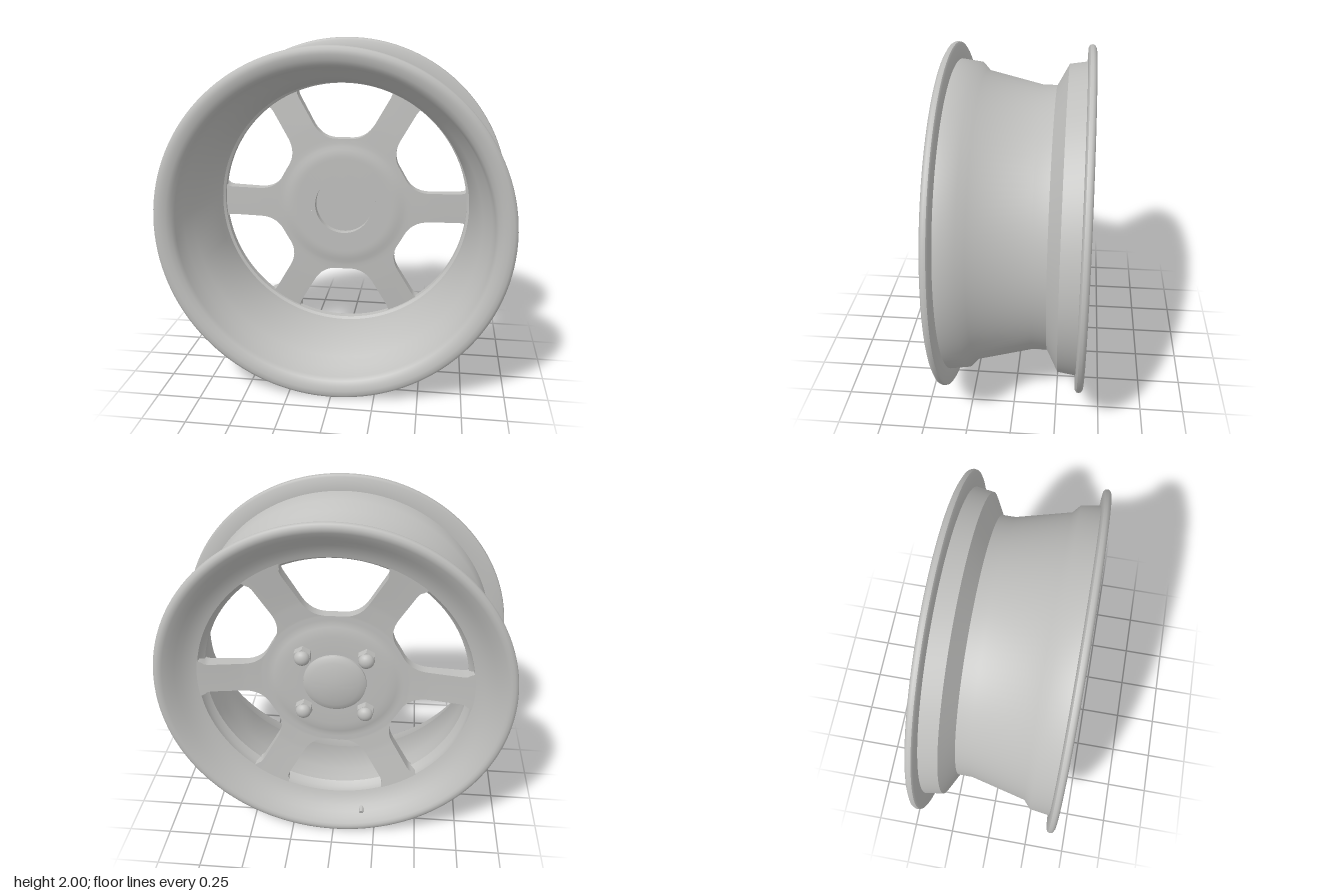
import * as THREE from 'three';
import { mergeGeometries, toCreasedNormals } from 'three/addons/utils/BufferGeometryUtils.js';

const alloy = new THREE.MeshStandardMaterial({ color: 0xbfbfbd });
alloy.name = 'alloy grey';

// Revolves [radius, z] points around the wheel axis (z).
function revolve(points, segments = 96, crease = 0.75) {
  const g = new THREE.LatheGeometry(points.map(([r, z]) => new THREE.Vector2(r, z)), segments);
  g.rotateX(Math.PI / 2);
  return toCreasedNormals(g, crease);
}

function part(name, geometry) {
  const m = new THREE.Mesh(geometry, alloy);
  m.name = name;
  return m;
}

// Interpolates z through [radius, z] points.
function along(table, r) {
  if (r <= table[0][0]) return table[0][1];
  for (let i = 1; i < table.length; i++) {
    const [r0, z0] = table[i - 1], [r1, z1] = table[i];
    if (r <= r1) return THREE.MathUtils.lerp(z0, z1, (r - r0) / (r1 - r0));
  }
  return table[table.length - 1][1];
}
const outerFace = [[0.29, -0.25], [0.33, -0.246], [0.37, -0.237], [0.42, -0.237], [0.53, -0.246], [0.785, -0.286]];
const innerFace = [[0.31, -0.165], [0.34, -0.168], [0.38, -0.177], [0.53, -0.185], [0.785, -0.205]];

// Six spokes widening into a common hub, built from arc-shaped sections.
function spokes() {
  const sections = [0.2, 0.29, 0.31, 0.33, 0.35, 0.37, 0.39, 0.415].map(r => [r, Math.PI / 6]);
  const fillet = new THREE.QuadraticBezierCurve(
    new THREE.Vector2(0.384, 0.164), new THREE.Vector2(0.43, 0.09), new THREE.Vector2(0.53, 0.09));
  const edge = fillet.getPoints(10).map(p => [p.x, p.y]);
  edge.push([0.62, 0.09], [0.71, 0.09], [0.733, 0.094], [0.747, 0.105], [0.775, 0.12]);
  edge.forEach(([s, w]) => sections.push([Math.hypot(s, w), Math.atan2(w, s)]));

  const across = 12, ring = 2 * (across + 1);
  const pos = [], index = [];
  sections.forEach(([r, half]) => {
    for (let k = 0; k < ring; k++) {
      const back = k <= across;
      const j = back ? k : ring - 1 - k;
      const a = half * (2 * j / across - 1);
      pos.push(r * Math.cos(a), r * Math.sin(a), along(back ? outerFace : innerFace, r));
    }
  });
  for (let i = 0; i < sections.length - 1; i++) {
    for (let k = 0; k < ring; k++) {
      const n = (k + 1) % ring;
      const a = i * ring + k, d = i * ring + n, b = a + ring, c = d + ring;
      index.push(a, d, c, a, c, b);
    }
  }
  const one = new THREE.BufferGeometry();
  one.setAttribute('position', new THREE.Float32BufferAttribute(pos, 3));
  one.setIndex(index);
  const all = [];
  for (let i = 0; i < 6; i++) all.push(one.clone().rotateZ(i * Math.PI / 3));
  return toCreasedNormals(mergeGeometries(all), 0.6);
}

export function createModel() {
  const model = new THREE.Group();
  model.name = 'wheelRim';
  const wheel = new THREE.Group();
  wheel.name = 'wheel';
  wheel.position.y = 1;
  model.add(wheel);

  // Barrel with both flanges: outside from back to front, then inside to the back bowl.
  wheel.add(part('barrel', revolve([
    [0.948, -0.393], [0.962, -0.4], [0.98, -0.4], [0.995, -0.392], [1, -0.38], [0.997, -0.365], [0.985, -0.357],
    [0.905, -0.355], [0.89, -0.255], [0.77, -0.19], [0.77, -0.11], [0.845, 0.205], [0.89, 0.245], [0.905, 0.355],
    [0.985, 0.357], [0.997, 0.365], [1, 0.38], [0.995, 0.391], [0.98, 0.4], [0.955, 0.4], [0.925, 0.393],
    [0.9, 0.378], [0.885, 0.355], [0.872, 0.25], [0.825, 0.21], [0.763, -0.09], [0.763, -0.175],
    [0.748, -0.185], [0.748, -0.225], [0.774, -0.25], [0.778, -0.284], [0.8, -0.292], [0.83, -0.307],
    [0.86, -0.327], [0.89, -0.351], [0.92, -0.375], [0.948, -0.393],
  ], 128)));

  wheel.add(part('spokes', spokes()));

  // Hub centre with a shallow round recess on the inner side.
  wheel.add(part('hub', revolve([
    [0, -0.25], [0.2, -0.25], [0.2, -0.165], [0.175, -0.165], [0.175, -0.21], [0, -0.21],
  ])));

  // Domed centre cap.
  wheel.add(part('centreCap', revolve([
    [0, -0.293], [0.05, -0.291], [0.1, -0.285], [0.14, -0.276], [0.165, -0.268], [0.178, -0.26], [0.18, -0.245],
  ], 64, 0.6)));

  // Four domed hexagonal lug nuts.
  for (let i = 0; i < 4; i++) {
    const a = Math.PI / 4 + i * Math.PI / 2;
    const nut = new THREE.Group();
    nut.name = 'lugNut';
    nut.position.set(0.25 * Math.cos(a), 0.25 * Math.sin(a), -0.245);
    const hex = part('nutBody', toCreasedNormals(
      new THREE.CylinderGeometry(0.052, 0.052, 0.05, 6).rotateX(Math.PI / 2), 0.4));
    hex.position.z = -0.025;
    const dome = part('nutDome', new THREE.SphereGeometry(0.045, 20, 12));
    dome.scale.z = 0.8;
    dome.position.z = -0.048;
    nut.add(hex, dome);
    wheel.add(nut);
  }

  // Valve stem passing through the back bowl near the bottom.
  const valve = new THREE.Group();
  valve.name = 'valve';
  const stem = part('valveStem', new THREE.CylinderGeometry(0.013, 0.014, 0.16, 16));
  const base = part('valveBase', new THREE.CylinderGeometry(0.02, 0.03, 0.03, 16));
  base.position.y = -0.065;
  valve.add(stem, base);
  const from = new THREE.Vector3(-0.17, -0.82, -0.21);
  const to = new THREE.Vector3(-0.17, -0.87, -0.365);
  valve.position.copy(from).lerp(to, 0.5);
  valve.quaternion.setFromUnitVectors(new THREE.Vector3(0, 1, 0), to.sub(from).normalize());
  wheel.add(valve);

  return model;
}
